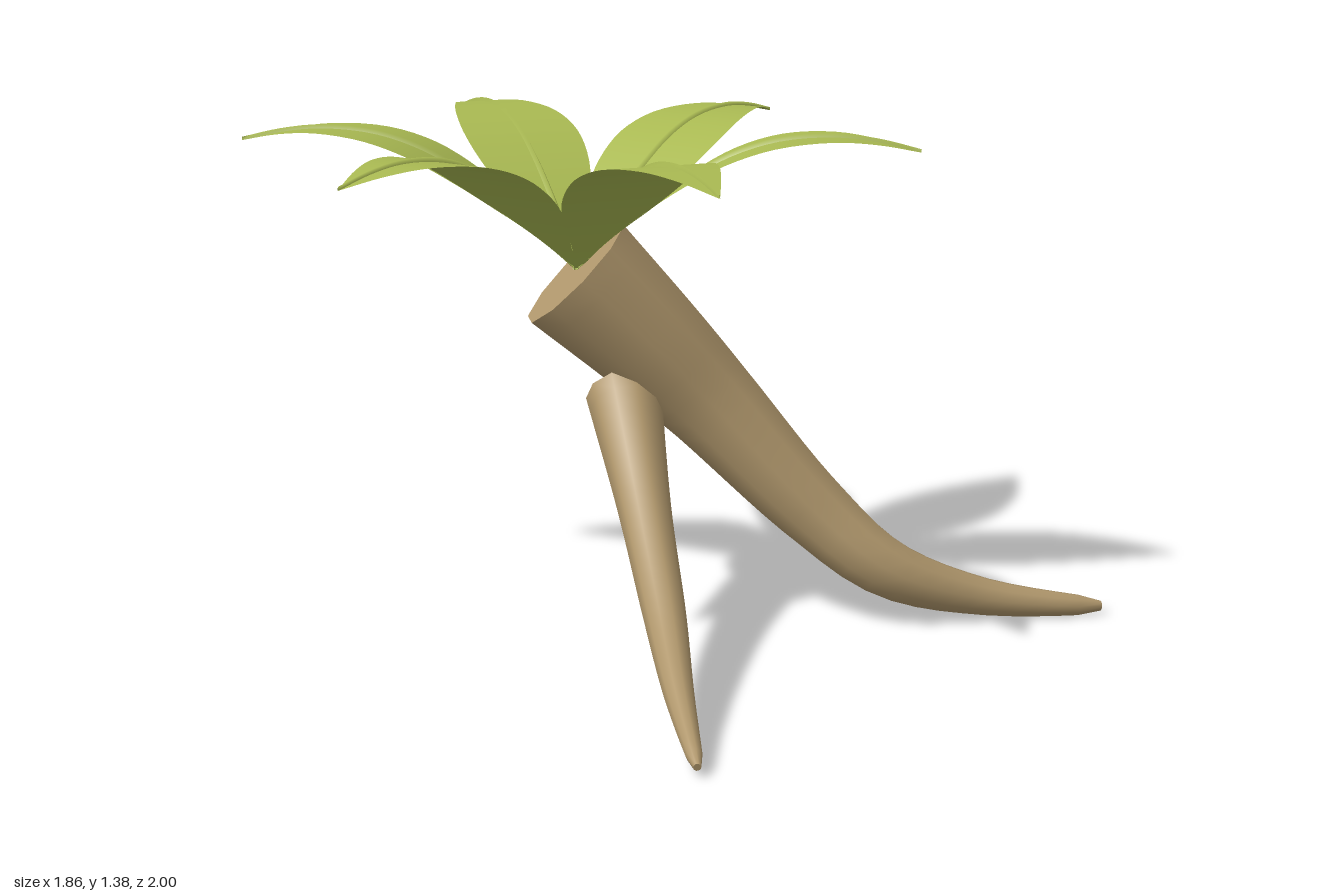
import * as THREE from 'three';

const V = (x, y, z) => new THREE.Vector3(x, y, z);

// Skin a list of equally long point rows; closed rows wrap around, caps fill both ends
function loft(rows, closed, caps = false) {
  const n = rows[0].length;
  const pts = rows.flat();
  const index = [];
  for (let i = 0; i < rows.length - 1; i++) {
    for (let j = 0; j < (closed ? n : n - 1); j++) {
      const k = (j + 1) % n;
      const a = i * n + j, b = i * n + k, c = a + n, d = b + n;
      index.push(a, b, c, b, d, c);
    }
  }
  if (caps) {
    [rows[0], rows[rows.length - 1]].forEach((ring, end) => {
      const start = pts.length;
      const centre = ring.reduce((s, p) => s.add(p), V(0, 0, 0)).divideScalar(n);
      pts.push(...ring, centre);
      for (let j = 0; j < n; j++) {
        const a = start + j, b = start + (j + 1) % n;
        index.push(start + n, end ? a : b, end ? b : a);
      }
    });
  }
  const geo = new THREE.BufferGeometry().setFromPoints(pts);
  geo.setIndex(index);
  geo.computeVertexNormals();
  return geo;
}

// Tapering bent root; each station is [x, y, z, radius]
function rootGeometry(stations, sides = 10, steps = 28) {
  const path = new THREE.CatmullRomCurve3(stations.map(([x, y, z]) => V(x, y, z)));
  const radius = new THREE.CatmullRomCurve3(stations.map((s, i) => V(s[3], i * 0.1, 0)));
  const { normals, binormals } = path.computeFrenetFrames(steps);
  const rows = [];
  for (let i = 0; i <= steps; i++) {
    const u = i / steps;
    const p = path.getPointAt(u);
    const r = radius.getPoint(path.getUtoTmapping(u)).x;
    rows.push(Array.from({ length: sides }, (_, j) => {
      const a = (j / sides) * Math.PI * 2;
      return p.clone()
        .addScaledVector(normals[i], r * Math.cos(a))
        .addScaledVector(binormals[i], r * Math.sin(a));
    }));
  }
  return loft(rows, true, true);
}

export function createModel() {
  const model = new THREE.Group();
  const rootMat = new THREE.MeshStandardMaterial({ color: 0xb0976c });
  rootMat.name = 'root tan';
  const leafMat = new THREE.MeshStandardMaterial({ color: 0xa9b952, side: THREE.DoubleSide });
  leafMat.name = 'leaf green';

  const add = (parent, name, geo, mat) => {
    const mesh = new THREE.Mesh(geo, mat);
    mesh.name = name;
    parent.add(mesh);
    return mesh;
  };

  // Thick main root and the thinner one that branches from it
  add(model, 'mainRoot', rootGeometry([
    [0, 0.985, -0.2, 0.192], [0.13, 0.795, -0.055, 0.165], [0.24, 0.62, 0.075, 0.141],
    [0.37, 0.325, 0.335, 0.107], [0.46, 0.16, 0.53, 0.085], [0.65, 0.065, 0.73, 0.054],
    [0.87, 0.026, 0.97, 0.024], [0.885, 0.025, 0.985, 0.014],
  ]), rootMat);
  add(model, 'sideRoot', rootGeometry([
    [0.06, 0.645, -0.08, 0.105], [-0.15, 0.405, 0.15, 0.072], [-0.37, 0.215, 0.38, 0.056],
    [-0.585, 0.105, 0.585, 0.038], [-0.775, 0.033, 0.775, 0.017], [-0.785, 0.03, 0.785, 0.01],
  ]), rootMat);

  // Leaf stations: distance out, height, half width
  const leafLine = new THREE.CatmullRomCurve3([
    V(0, 0.99, 0.008), V(0.07, 1.058, 0.04), V(0.14, 1.122, 0.083), V(0.21, 1.178, 0.124),
    V(0.3, 1.242, 0.157), V(0.42, 1.31, 0.17), V(0.55, 1.353, 0.152),
    V(0.7, 1.367, 0.105), V(0.82, 1.355, 0.054), V(0.93, 1.33, 0.001),
  ]);
  const stations = leafLine.getPoints(36);
  const bladeGeo = loft(stations.map((s) =>
    [-1, -0.5, 0, 0.5, 1].map((k) => V(s.x, s.y, s.z * k))), false);

  // Slim raised midrib, narrowing to the tip
  const ribGeo = loft(stations.map((s) => {
    const f = 1 - 0.85 * s.x / 0.93;
    return [V(s.x, s.y, -0.011 * f), V(s.x, s.y + 0.008 + 0.008 * f, 0), V(s.x, s.y, 0.011 * f)];
  }), false);

  // Crown of six arching leaves
  const crown = new THREE.Group();
  crown.name = 'leafCrown';
  crown.position.z = -0.195;
  for (let i = 0; i < 6; i++) {
    const leaf = new THREE.Group();
    leaf.name = 'leaf';
    leaf.rotation.y = (i * Math.PI) / 3;
    add(leaf, 'leafBlade', bladeGeo, leafMat);
    add(leaf, 'leafMidrib', ribGeo, leafMat);
    crown.add(leaf);
  }
  model.add(crown);
  return model;
}
